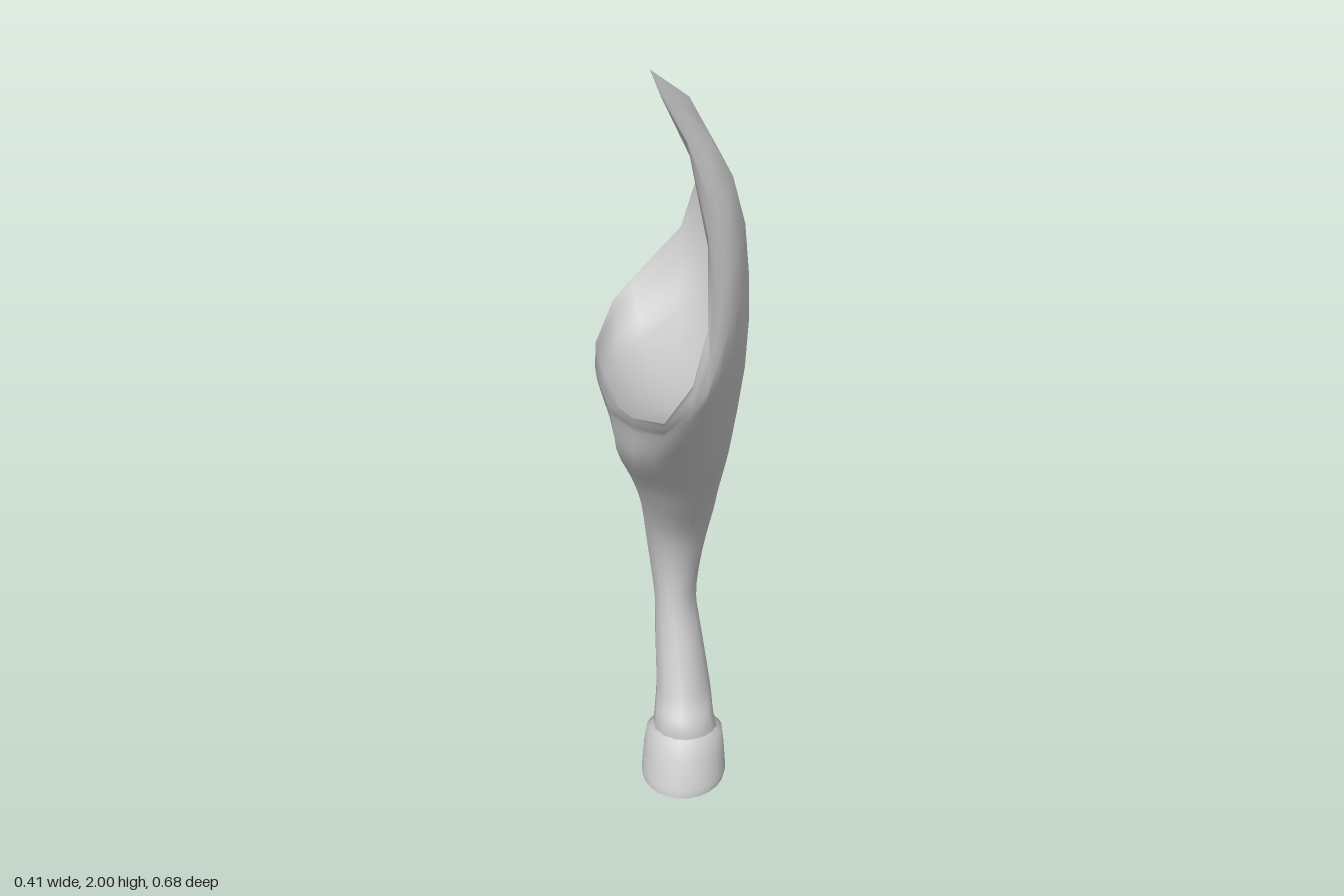
import * as THREE from 'three';

const material = new THREE.MeshStandardMaterial({ color: 0xcccccc, side: THREE.DoubleSide });

// Skin a stack of closed rows (bottom to top), optionally closing the bottom.
function loft(name, rows, capBottom = false) {
  const n = rows[0].length, pos = [], idx = [];
  rows.forEach(r => r.forEach(p => pos.push(p.x, p.y, p.z)));
  for (let j = 0; j < rows.length - 1; j++) {
    for (let i = 0; i < n; i++) {
      const k = (i + 1) % n, a = j * n + i, b = j * n + k;
      idx.push(a, a + n, b, b, a + n, b + n);
    }
  }
  if (capBottom) {
    // separate vertices keep the sole edge sharp
    const base = pos.length / 3, c = new THREE.Vector3();
    rows[0].forEach(p => { pos.push(p.x, p.y, p.z); c.addScaledVector(p, 1 / n); });
    pos.push(c.x, c.y, c.z);
    for (let i = 0; i < n; i++) idx.push(base + i, base + (i + 1) % n, base + n);
  }
  const g = new THREE.BufferGeometry();
  g.setAttribute('position', new THREE.Float32BufferAttribute(pos, 3));
  g.setIndex(idx);
  g.computeVertexNormals();
  const mesh = new THREE.Mesh(g, material);
  mesh.name = name;
  return mesh;
}

// Oval cross-section; pinch narrows its back.
function ring([y, front, back, xMin, xMax, pinch = 0], angles) {
  return angles.map(d => {
    const a = THREE.MathUtils.degToRad(d), s = Math.sin(a), c = Math.cos(a);
    const w = 1 - pinch * Math.max(0, -s);
    return new THREE.Vector3((xMin + xMax) / 2 + c * w * (xMax - xMin) / 2, y,
      (front + back) / 2 + s * (front - back) / 2);
  });
}

const triples = a => Array.from({ length: a.length / 3 }, (_, i) => new THREE.Vector3(...a.slice(i * 3, i * 3 + 3)));

// Column angles, from the outer side round the front, inside and back
const ANGLES = [0, 22, 42, 58, 72, 85, 100, 122, 150, 185, 210, 235, 252, 268, 288, 310, 332];

// Lower leg: y, front z, back z, min x, max x, pinch
const LEG = [
  [0.13, 0.07, -0.12, -0.05, 0.14],
  [0.19, 0.065, -0.13, -0.045, 0.125],
  [0.24, 0.03, -0.19, -0.047, 0.112, 0.1],
  [0.30, 0.0, -0.197, -0.05, 0.1, 0.1],
  [0.40, -0.04, -0.205, -0.055, 0.08],
  [0.50, -0.07, -0.235, -0.06, 0.06],
  [0.60, -0.08, -0.26, -0.075, 0.068, 0.1],
  [0.70, -0.065, -0.298, -0.09, 0.088, 0.3],
  [0.77, -0.035, -0.31, -0.096, 0.105, 0.4],
  [0.85, 0.015, -0.26, -0.1, 0.12, 0.3],
  [0.93, 0.07, -0.22, -0.115, 0.138, 0.1],
  [1.05, 0.17, -0.192, -0.145, 0.162],
];

// Thigh loops, ending in the slanted open rim
const THIGH_LOW = [
  0.205, 1.4, 0.05, 0.2, 1.4, 0.17, 0.18, 1.38, 0.25, 0.155, 1.33, 0.3, 0.13, 1.29, 0.32,
  0.09, 1.24, 0.31, 0.02, 1.17, 0.255, -0.06, 1.15, 0.19, -0.13, 1.15, 0.1, -0.18, 1.17, -0.02,
  -0.185, 1.18, -0.11, -0.15, 1.21, -0.19, -0.1, 1.24, -0.225, -0.01, 1.3, -0.26,
  0.07, 1.36, -0.275, 0.14, 1.39, -0.2, 0.185, 1.4, -0.09];
const THIGH_HIGH = [
  0.16, 1.76, 0.05, 0.16, 1.72, 0.16, 0.155, 1.64, 0.23, 0.145, 1.51, 0.29, 0.135, 1.38, 0.328,
  0.1, 1.29, 0.333, 0.028, 1.2, 0.287, -0.06, 1.175, 0.205, -0.137, 1.175, 0.107, -0.19, 1.2, -0.025,
  -0.2, 1.22, -0.12, -0.17, 1.27, -0.23, -0.12, 1.31, -0.27, -0.01, 1.41, -0.31,
  0.06, 1.53, -0.32, 0.11, 1.62, -0.25, 0.14, 1.71, -0.12];
const RIM = [
  -0.04, 2, 0.03, 0, 1.97, 0.16, 0.07, 1.88, 0.23, 0.125, 1.68, 0.28, 0.13, 1.47, 0.315,
  0.1, 1.34, 0.34, 0.03, 1.23, 0.315, -0.06, 1.2, 0.22, -0.14, 1.2, 0.11, -0.195, 1.23, -0.03,
  -0.21, 1.26, -0.13, -0.185, 1.33, -0.27, -0.14, 1.38, -0.31, -0.01, 1.52, -0.34,
  0.04, 1.68, -0.32, 0.055, 1.79, -0.26, 0.03, 1.9, -0.17];

function buildLeg() {
  const rows = [...LEG.map(r => ring(r, ANGLES)), ...[THIGH_LOW, THIGH_HIGH, RIM].map(triples)];
  const steps = (rows.length - 1) * 3;
  // smooth every column along the leg
  const columns = ANGLES.map((_, i) => new THREE.CatmullRomCurve3(rows.map(r => r[i])).getPoints(steps));
  return loft('leg', Array.from({ length: steps + 1 }, (_, j) => columns.map(c => c[j])));
}

function buildHoof() {
  const angles = Array.from({ length: 24 }, (_, i) => i * 15);
  // slanted coronet over a flaring wall, with a cleft between the heels
  const rows = [
    [0.02, 0.14, -0.115, -0.072, 0.162],
    [0.035, 0.137, -0.12, -0.075, 0.165],
    [0.09, 0.105, -0.135, -0.072, 0.158],
    [0.14, 0.076, -0.14, -0.065, 0.15],
    [0.155, 0.055, -0.11, -0.04, 0.125],
  ].map((r, j) => {
    const row = ring(r, angles);
    row.forEach((p, i) => {
      if (j > 1) p.y += (p.z + 0.03) * 0.15;
      if (j < 3 && i === 18) p.z += 0.045;
      if (j === 0) p.y = i === 17 || i === 19 ? 0 : 0.02 - p.z * 0.06;
    });
    return row;
  });
  return loft('hoof', rows, true);
}

export function createModel() {
  const group = new THREE.Group();
  group.name = 'hindLeg';
  group.add(buildLeg(), buildHoof());
  return group;
}
